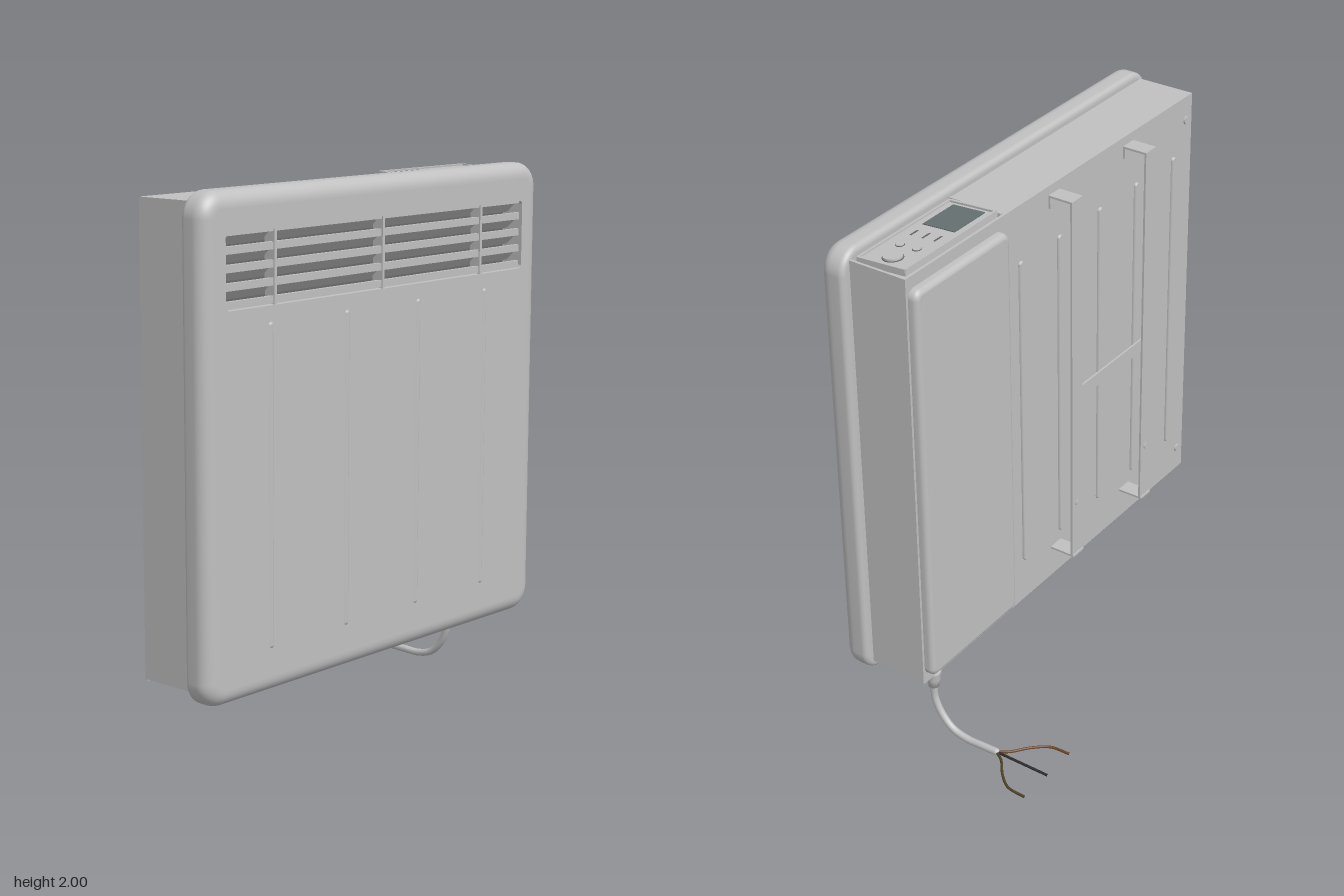
import * as THREE from 'three';

const mat = (name, color, side = THREE.FrontSide) => {
  const m = new THREE.MeshStandardMaterial({ color, side });
  m.name = name;
  return m;
};

// Points of a rounded rectangle, counter-clockwise
function roundedPoints(w, h, r, seg = 8) {
  const pts = [];
  [[1, 1], [-1, 1], [-1, -1], [1, -1]].forEach(([sx, sy], q) => {
    for (let i = 0; i <= seg; i++) {
      const a = (q + i / seg) * Math.PI / 2;
      pts.push(new THREE.Vector2(sx * (w / 2 - r) + r * Math.cos(a), sy * (h / 2 - r) + r * Math.sin(a)));
    }
  });
  return pts;
}

// Skin through rounded rectangles; profile is a list of [inset, z]
function rimGeometry(w, h, r, profile) {
  const pos = [], idx = [];
  let n = 0;
  for (const [d, z] of profile) {
    const ring = roundedPoints(w - 2 * d, h - 2 * d, Math.max(r - d, 0.002));
    n = ring.length;
    ring.forEach(p => pos.push(p.x, p.y, z));
  }
  for (let i = 0; i < profile.length - 1; i++) {
    for (let j = 0; j < n; j++) {
      const a = i * n + j, b = i * n + (j + 1) % n;
      idx.push(a, b, b + n, a, b + n, a + n);
    }
  }
  const g = new THREE.BufferGeometry();
  g.setAttribute('position', new THREE.Float32BufferAttribute(pos, 3));
  g.setIndex(idx);
  g.computeVertexNormals();
  return g;
}

export function createModel() {
  const model = new THREE.Group();
  model.name = 'panelHeater';
  const grey = mat('light grey', 0xc0c0c0, THREE.DoubleSide);
  const dark = mat('vent shadow grey', 0x6a6a6a);
  const screen = mat('display grey', 0x667070);
  const brown = mat('brown wire', 0x6b4423);
  const black = mat('black wire', 0x2c2c2c);
  const olive = mat('earth wire', 0x4f4424);

  const add = (name, geo, m = grey, x = 0, y = 0, z = 0, parent = model) => {
    const mesh = new THREE.Mesh(geo, m);
    mesh.name = name;
    mesh.position.set(x, y, z);
    parent.add(mesh);
    return mesh;
  };
  // Box given by its limits
  const box = (name, x0, x1, y0, y1, z0, z1, m = grey, parent = model) =>
    add(name, new THREE.BoxGeometry(x1 - x0, y1 - y0, z1 - z0), m, (x0 + x1) / 2, (y0 + y1) / 2, (z0 + z1) / 2, parent);
  // Raised pad: rounded rim plus flat cap
  const pad = (name, w, h, r, profile, x, y, z, back = false, hole = null) => {
    const g = new THREE.Group();
    g.name = name;
    g.position.set(x, y, z);
    if (back) g.rotation.y = Math.PI;
    model.add(g);
    const [d, top] = profile[profile.length - 1];
    const shape = new THREE.Shape(roundedPoints(w - 2 * d, h - 2 * d, Math.max(r - d, 0.002)));
    if (hole) shape.holes.push(hole);
    add(name + 'Rim', rimGeometry(w, h, r, profile), grey, 0, 0, 0, g);
    add(name + 'Face', new THREE.ShapeGeometry(shape), grey, 0, 0, top, g);
  };

  // Front panel with a bullnose edge and vent opening
  const profile = [[0.08, 0], [0.025, 0], [0.02, 0]];
  for (let i = 1; i <= 4; i++) {
    const a = i / 4 * Math.PI / 2;
    profile.push([0.02 * (1 - Math.sin(a)), 0.02 * (1 - Math.cos(a))]);
  }
  for (let i = 0; i <= 8; i++) {
    const a = i / 8 * Math.PI / 2;
    profile.push([0.055 * (1 - Math.cos(a)), 0.055 + 0.05 * Math.sin(a)]);
  }
  profile.push([0.06, 0.105]);
  const PY = 1.13, VY = 1.7325;
  const opening = roundedPoints(1.61, 0.255, 0.015, 4).map(p => new THREE.Vector2(p.x, p.y + VY - PY));
  pad('frontPanel', 1.82, 1.74, 0.09, profile, 0, PY, 0.295, false, new THREE.Path(opening));

  // Vent: recess, slanted louvres and dividers
  add('ventRecess', rimGeometry(1.61, 0.255, 0.015, [[0, 0.31], [0, 0.4]]), grey, 0, VY, 0);
  box('ventBack', -0.805, 0.805, 1.605, 1.86, 0.3, 0.31, dark);
  for (let i = 0; i < 5; i++) {
    const y = 1.608 + i * 0.0605;
    box('louvreEdge', -0.8, 0.8, y, Math.min(y + 0.026, 1.86), 0.375, 0.39);
    if (i) {
      const slat = box('louvreSlat', -0.8, 0.8, y - 0.018, y - 0.012, 0.325, 0.378);
      slat.rotation.x = -0.75;
    }
  }
  for (const x of [-0.56, 0, 0.56]) box('ventDivider', x - 0.006, x + 0.006, 1.605, 1.86, 0.35, 0.395);

  // Pressed ribs on the front and back
  const rib = [[0, 0], [0.003, 0.002], [0.006, 0.004], [0.008, 0.0045]];
  for (const x of [-0.59, -0.2, 0.19, 0.58]) pad('frontRib', 0.022, 1.13, 0.011, rib, x, 0.985, 0.4);
  const backRib = [[0, 0], [0, 0.005], [0.003, 0.009]];
  for (const x of [-0.745, -0.49, -0.25, 0.005, 0.24]) pad('backRib', 0.025, 1.27, 0.012, backRib, x, 1.115, 0.065, true);

  // Casing: hollow box, open at the bottom
  box('casingBack', -0.87, 0.87, 0.3, 1.965, 0.065, 0.075);
  box('casingRightSide', -0.87, -0.86, 0.305, 1.965, 0.075, 0.3);
  box('casingLeftSide', 0.86, 0.87, 0.305, 1.965, 0.075, 0.3);
  box('casingTop', -0.86, 0.33, 1.955, 1.965, 0.075, 0.3);
  box('casingFront', -0.86, 0.86, 0.31, 1.59, 0.29, 0.299);

  // Bottom grille
  for (let i = 0; i <= 30; i++) {
    const x = -0.86 + i * 1.72 / 30;
    box('grilleCrossBar', x - 0.006, x + 0.006, 0.305, 0.313, 0.07, 0.3);
  }
  for (let i = 0; i <= 4; i++) {
    const z = 0.08 + i * 0.052;
    box('grilleLongBar', -0.865, 0.865, 0.304, 0.314, z - 0.006, z + 0.006);
  }

  // Control panel: recessed tray with a tilted fascia
  box('controlTray', 0.33, 0.86, 1.93, 1.94, 0.075, 0.3);
  box('controlTrayWall', 0.325, 0.335, 1.94, 1.97, 0.075, 0.295);
  const control = new THREE.Group();
  control.name = 'controlPanel';
  control.position.set(0.59, 1.965, 0.187);
  control.rotation.x = 0.07;
  model.add(control);
  const part = (name, x0, x1, y0, y1, z0, z1, m = grey) => box(name, x0, x1, y0, y1, z0, z1, m, control);
  part('controlFascia', -0.24, 0.24, -0.012, 0.004, -0.095, 0.095);
  for (const s of [-1, 1]) {
    part('controlFrameLong', -0.25, 0.25, -0.015, 0.01, s * 0.097 - 0.005, s * 0.097 + 0.005);
    part('controlFrameShort', s * 0.247 - 0.005, s * 0.247 + 0.005, -0.015, 0.01, -0.1, 0.1);
  }
  part('display', -0.225, -0.055, 0.004, 0.007, -0.07, 0.065, screen);
  for (const z of [-0.05, 0, 0.05]) part('indicatorMark', -0.01, 0.03, 0.004, 0.006, z - 0.003, z + 0.003, dark);
  for (const z of [-0.035, 0.035]) {
    add('buttonRim', new THREE.CylinderGeometry(0.016, 0.016, 0.004, 20), dark, 0.105, 0.004, z, control);
    add('button', new THREE.CylinderGeometry(0.014, 0.014, 0.006, 20), grey, 0.105, 0.005, z, control);
  }
  add('dialRim', new THREE.CylinderGeometry(0.037, 0.037, 0.005, 32), dark, 0.19, 0.004, -0.003, control);
  add('dial', new THREE.CylinderGeometry(0.034, 0.034, 0.014, 32), grey, 0.19, 0.006, -0.003, control);

  // Electronics cover on the back
  pad('backCover', 0.52, 1.585, 0.035,
    [[0, 0], [0, 0.018], [0.003, 0.027], [0.009, 0.033], [0.017, 0.036], [0.021, 0.036]], 0.6, 1.127, 0.066, true);

  // Wall bracket: two rails with end tabs and a crossbar
  const stud = (name, x, y, z, r) => {
    add(name, new THREE.CylinderGeometry(r, r, 0.008, 16), grey, x, y, z).rotation.x = Math.PI / 2;
  };
  for (const x of [-0.435, 0.035]) {
    box('bracketRail', x - 0.033, x + 0.033, 0.425, 1.93, -0.034, -0.026);
    box('bracketTopTab', x - 0.033, x + 0.033, 1.922, 1.93, -0.034, 0.066);
    box('bracketTopLip', x - 0.033, x + 0.033, 1.88, 1.93, 0.058, 0.066);
    box('bracketBottomTab', x - 0.033, x + 0.033, 0.425, 0.433, -0.04, 0.066);
    stud('railScrew', x, 0.66, -0.034, 0.012);
  }
  box('bracketCrossbar', -0.435, 0.035, 1.1, 1.15, -0.026, -0.018);
  for (const y of [0.4, 1.87]) stud('backScrew', -0.83, y, 0.062, 0.016);

  // Cable gland and supply cable
  const gland = [[0, 0.285], [0.03, 0.285], [0.03, 0.262], [0.024, 0.258], [0.026, 0.235], [0.021, 0.232], [0.021, 0.205], [0, 0.205]];
  add('cableGland', new THREE.LatheGeometry(gland.map(p => new THREE.Vector2(...p)).reverse(), 24), grey, 0.76, 0, 0.107);
  const tube = (name, pts, r, m) => {
    const curve = new THREE.CatmullRomCurve3(pts.map(p => new THREE.Vector3(...p)));
    add(name, new THREE.TubeGeometry(curve, 40, r, 10), m);
  };
  tube('cable', [[0.76, 0.21, 0.107], [0.76, 0.15, 0.104], [0.76, 0.085, 0.075], [0.76, 0.035, 0.025],
    [0.76, 0.017, -0.04], [0.76, 0.018, -0.11], [0.76, 0.02, -0.17]], 0.014, grey);
  add('cableEnd', new THREE.SphereGeometry(0.014, 12, 8), grey, 0.76, 0.02, -0.17);

  // Three bare wire ends
  [[-1, brown], [0, black], [1, olive]].forEach(([s, m]) => tube('wire',
    [[0.76, 0.02, -0.17], [0.76 + s * 0.025, 0.02, -0.21], [0.76 + s * 0.09, 0.02, -0.265],
      [0.76 + s * 0.132, 0.02, -0.32], [0.76 + s * 0.14, 0.02, -0.4]], 0.005, m));
  return model;
}
